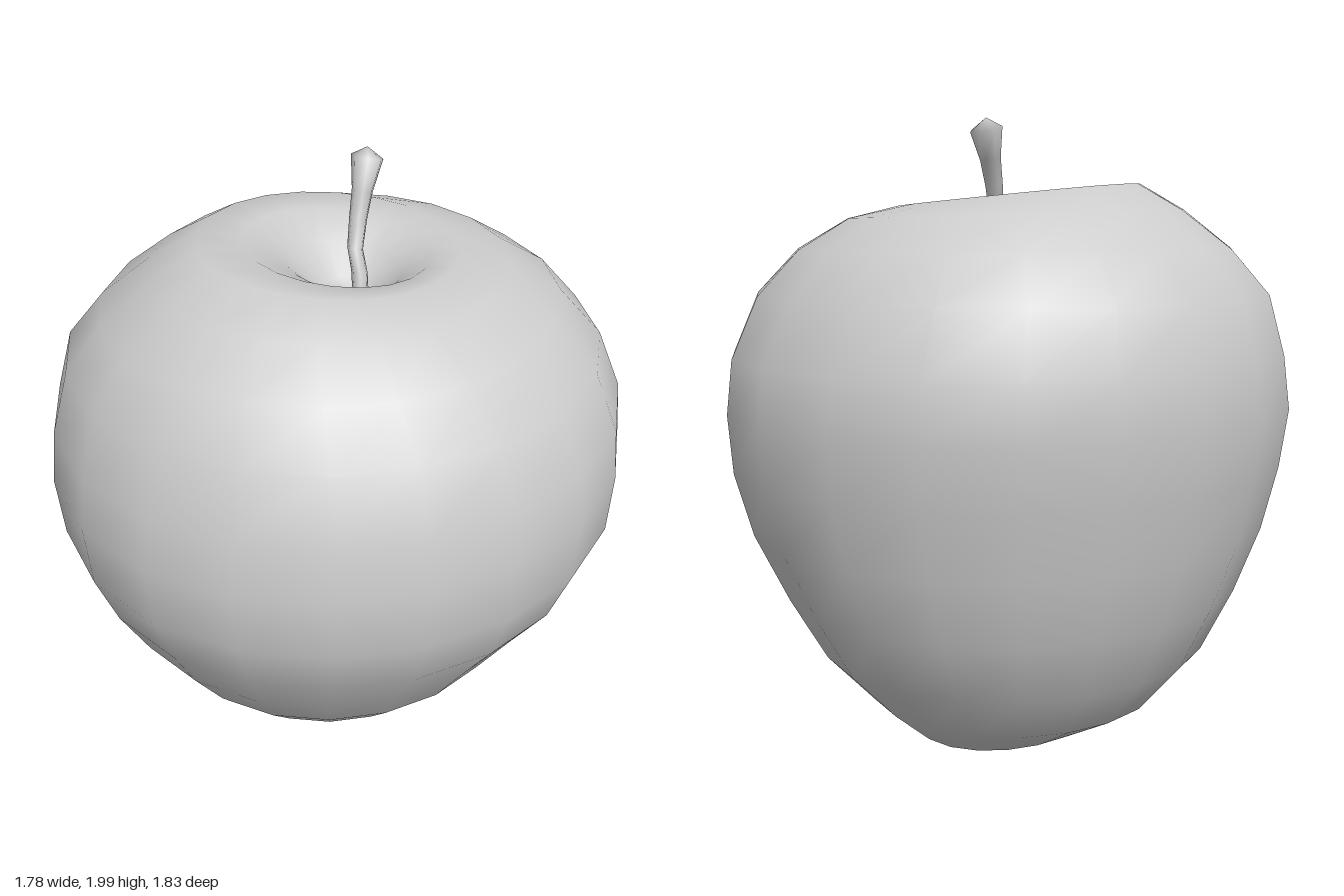
import * as THREE from 'three';
import { mergeVertices } from 'three/addons/utils/BufferGeometryUtils.js';

// Skin a stack of rings, each a function of the angle giving [x, y, z]
function loft(rings, sides) {
  const pos = [], idx = [];
  for (const ring of rings)
    for (let j = 0; j < sides; j++) pos.push(...ring((j / sides) * Math.PI * 2));
  for (let i = 0; i < rings.length - 1; i++)
    for (let j = 0; j < sides; j++) {
      const a = i * sides + j, b = i * sides + ((j + 1) % sides);
      idx.push(a, a + sides, b, b, a + sides, b + sides);
    }
  let geo = new THREE.BufferGeometry();
  geo.setAttribute('position', new THREE.Float32BufferAttribute(pos, 3));
  geo.setIndex(idx);
  geo = mergeVertices(geo, 1e-4);
  geo.computeVertexNormals();
  return geo;
}

// Fruit sections from the base dimple, up the outside and into the stem hollow:
// [xMin, xMax, zMin, zMax, y, tilt along x, tilt along z]
const sections = [
  [-0.02, -0.02, -0.04, -0.04, 0.13, 0, 0],
  [-0.12, 0.09, -0.16, 0.08, 0.09, 0, 0],
  [-0.22, 0.18, -0.29, 0.20, 0.025, 0, 0],
  [-0.33, 0.27, -0.40, 0.31, 0.02, -0.005, 0.005],
  [-0.52, 0.42, -0.53, 0.45, 0.13, 0, 0],
  [-0.66, 0.57, -0.68, 0.60, 0.30, 0, 0],
  [-0.75, 0.69, -0.78, 0.73, 0.50, 0, 0],
  [-0.82, 0.82, -0.85, 0.84, 0.71, 0, 0],
  [-0.86, 0.89, -0.89, 0.915, 0.91, 0, 0],
  [-0.89, 0.89, -0.915, 0.915, 1.10, 0, 0],
  [-0.87, 0.87, -0.895, 0.89, 1.27, 0, 0],
  [-0.82, 0.79, -0.82, 0.82, 1.46, 0, 0],
  [-0.70, 0.65, -0.71, 0.71, 1.60, 0, 0],
  [-0.54, 0.49, -0.56, 0.57, 1.71, -0.01, 0.01],
  [-0.40, 0.35, -0.40, 0.42, 1.77, -0.03, 0.022],
  [-0.28, 0.26, -0.29, 0.28, 1.755, -0.03, 0.02],
  [-0.17, 0.18, -0.19, 0.15, 1.69, -0.02, 0.01],
  [-0.07, 0.11, -0.12, 0.06, 1.61, 0, 0],
  [0.03, 0.03, -0.05, -0.05, 1.57, 0, 0],
];

// Elliptical section, slightly drawn out along one diagonal
const fruitRing = ([x0, x1, z0, z1, y, tx, tz]) => (t) => {
  const c = Math.cos(t), s = Math.sin(t), k = 1 - 0.035 * Math.sin(2 * t);
  return [
    (x0 + x1) / 2 + ((x1 - x0) / 2) * c * k,
    y + tx * c + tz * s,
    (z0 + z1) / 2 + ((z1 - z0) / 2) * s * k,
  ];
};

// Stem: [x, y, z, radius] up its bent centre line; rings lean back with it
const stemPath = [
  [0.05, 1.56, -0.05, 0.026],
  [0.035, 1.66, -0.06, 0.026],
  [0.0, 1.72, -0.085, 0.025],
  [-0.015, 1.80, -0.12, 0.028],
  [-0.025, 1.88, -0.155, 0.033],
  [-0.04, 1.967, -0.20, 0.051],
  [-0.04, 2.0, -0.20, 0],
];
const stemRing = ([x, y, z, r]) => (t) => [
  x + r * Math.cos(t), y + 0.3 * r * Math.sin(t), z + r * Math.sin(t),
];

export function createModel() {
  const group = new THREE.Group();
  group.name = 'apple';
  const material = new THREE.MeshStandardMaterial({ color: 0xcccccc, side: THREE.DoubleSide });

  const fruit = new THREE.Mesh(loft(sections.map(fruitRing), 20), material);
  fruit.name = 'fruit';

  const stem = new THREE.Mesh(loft(stemPath.map(stemRing), 7), material);
  stem.name = 'stem';

  group.add(fruit, stem);
  return group;
}
